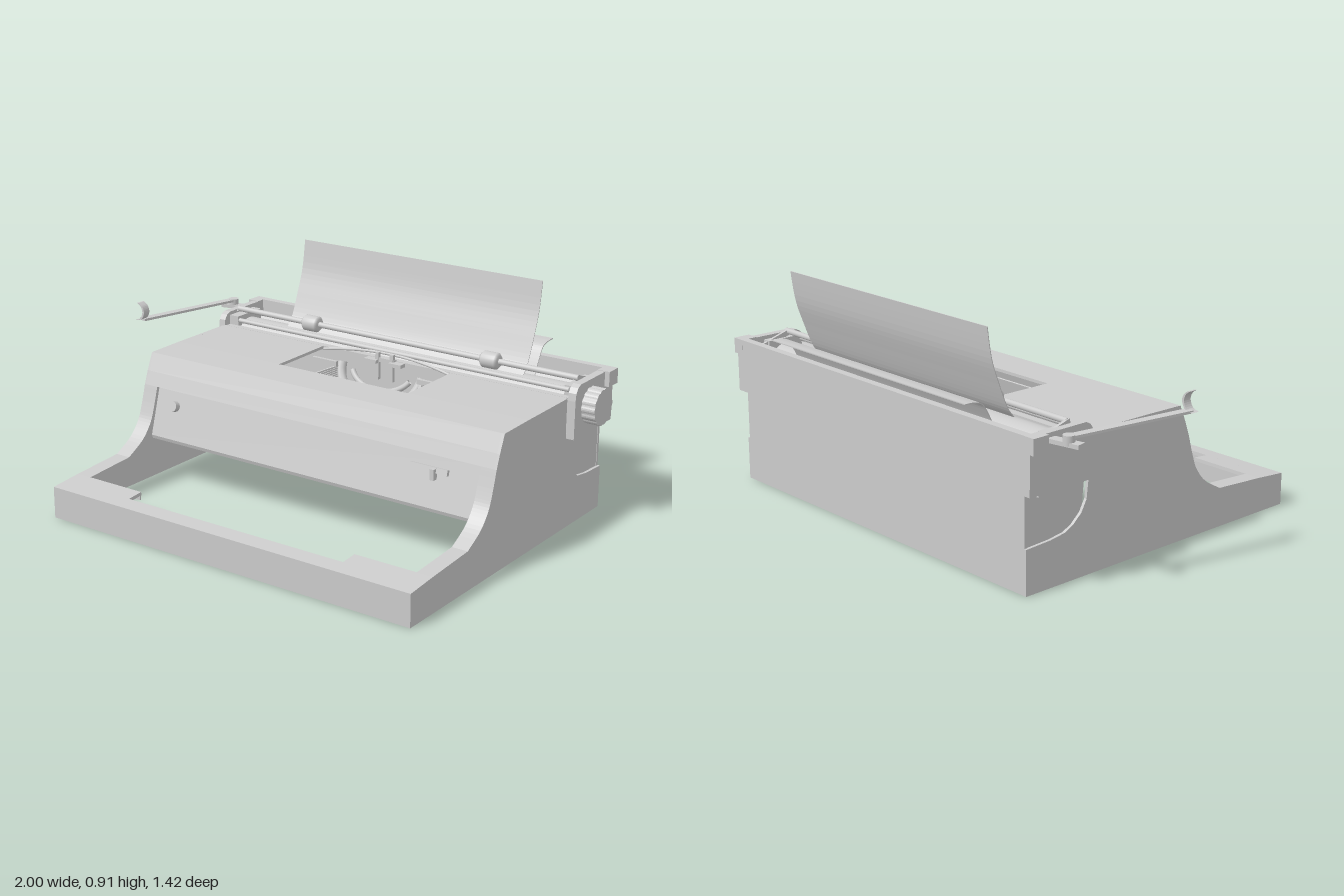
import * as THREE from 'three';

const mat = new THREE.MeshStandardMaterial({ color: 0xcccccc, side: THREE.DoubleSide });
const CX = 0.067; // centre line of the machine
const L = -0.775, R = 0.908; // outer faces of the casing

export function createModel() {
  const root = new THREE.Group();
  const add = (name, geo, parent = root) => {
    const m = new THREE.Mesh(geo, mat);
    m.name = name;
    parent.add(m);
    return m;
  };
  const group = (name) => {
    const g = new THREE.Group();
    g.name = name;
    root.add(g);
    return g;
  };
  // box given by its limits
  const box = (name, x0, x1, y0, y1, z0, z1, parent) =>
    add(name, new THREE.BoxGeometry(x1 - x0, y1 - y0, z1 - z0)
      .translate((x0 + x1) / 2, (y0 + y1) / 2, (z0 + z1) / 2), parent);
  // closed [z, y] outline extruded along x
  const slab = (name, pts, x0, x1, parent) => {
    const s = new THREE.Shape(pts.map(([z, y]) => new THREE.Vector2(-z, y)));
    const g = new THREE.ExtrudeGeometry(s, { depth: x1 - x0, bevelEnabled: false });
    return add(name, g.rotateY(Math.PI / 2).translate(x0, 0, 0), parent);
  };
  // thin sheet following an open [z, y] line, thickened to one side
  const skin = (name, pts, x0, x1, t, parent) => {
    const inner = pts.map((p, i) => {
      const a = pts[Math.max(i - 1, 0)], b = pts[Math.min(i + 1, pts.length - 1)];
      const dz = b[0] - a[0], dy = b[1] - a[1], l = Math.hypot(dz, dy);
      return [p[0] - (dy / l) * t, p[1] + (dz / l) * t];
    });
    return slab(name, [...pts, ...inner.reverse()], x0, x1, parent);
  };
  // smooth [z, y] line through a few points
  const smooth = (pts, n) => new THREE.SplineCurve(pts.map((p) => new THREE.Vector2(...p)))
    .getPoints(n).map((p) => [p.x, p.y]);
  const rodX = (name, r, x0, x1, y, z, parent, seg = 24) =>
    add(name, new THREE.CylinderGeometry(r, r, x1 - x0, seg)
      .rotateZ(Math.PI / 2).translate((x0 + x1) / 2, y, z), parent);
  // straight bar between two points
  const bar = (a, b, w, h) => {
    const d = b.clone().sub(a);
    const g = new THREE.BoxGeometry(w, h, d.length());
    const q = new THREE.Quaternion().setFromUnitVectors(new THREE.Vector3(0, 0, 1), d.normalize());
    return g.applyQuaternion(q).translate((a.x + b.x) / 2, (a.y + b.y) / 2, (a.z + b.z) / 2);
  };
  const V = (x, y, z) => new THREE.Vector3(x, y, z);

  // ---- casing ----
  const casing = group('casing');
  const sweep = smooth([[0.34, 0.157], [0.255, 0.207], [0.205, 0.265], [0.18, 0.325], [0.155, 0.41]], 20);
  const arm = [[0.71, 0.13], [0.57, 0.142], ...sweep];
  const brow = [[0.155, 0.41], [0.135, 0.465], [0.105, 0.535], [-0.065, 0.538]];
  const notch = [[-0.362, 0.53], [-0.362, 0.4], [-0.375, 0.29], [-0.4, 0.245], [-0.44, 0.21], [-0.48, 0.19], [-0.55, 0.18], [-0.665, 0.175]];
  const side = [[0.71, 0], ...arm, ...brow.slice(1), [-0.36, 0.54], ...notch, [-0.665, 0]];
  const inset = [[-0.373, 0.4], [-0.66, 0.4], [-0.66, 0.16], [-0.44, 0.16], [-0.39, 0.24]];
  for (const [x, s] of [[L, 1], [R, -1]]) {
    const span = (a, b) => [x + s * a, x + s * b].sort((p, q) => p - q);
    slab('sideWall', side, ...span(0, 0.012), casing);
    slab('sideInset', inset, ...span(0.012, 0.02), casing);
    skin('armTop', arm, ...span(0.01, 0.067), 0.014, casing);
    skin('armLip', arm.slice(1), ...span(0.06, 0.067), 0.03, casing);
  }
  box('frontWall', L, R, 0, 0.13, 0.698, 0.71, casing);
  skin('frontRim', [[0.71, 0.13], [0.64, 0.136]], L + 0.01, R - 0.01, 0.014, casing);
  box('frontRimLip', -0.44, 0.575, 0.105, 0.13, 0.641, 0.648, casing);
  for (const [a, b] of [[-0.71, -0.44], [0.575, 0.843]]) {
    skin('cornerTab', [[0.645, 0.1355], [0.57, 0.142]], a, b, 0.014, casing);
    box('cornerTabLip', a, b, 0.11, 0.135, 0.571, 0.578, casing);
  }
  skin('brow', brow, L + 0.005, R - 0.005, 0.012, casing);
  for (const [a, b] of [[L + 0.005, -0.245], [0.38, R - 0.005]])
    skin('deck', [[-0.065, 0.538], [-0.37, 0.54]], a, b, 0.012, casing);
  box('backWall', L + 0.01, R - 0.01, 0, 0.4, -0.665, -0.652, casing);

  // ---- sloping panel behind the keyboard opening ----
  const panel = group('frontPanel');
  skin('panelSheet', [[0.18, 0.193], [0.195, 0.2], [0.2, 0.215], [0.143, 0.412]], -0.705, 0.842, 0.008, panel);
  add('panelKnob', new THREE.CylinderGeometry(0.022, 0.022, 0.03, 20)
    .rotateX(Math.PI / 2 - 0.28).translate(-0.605, 0.35, 0.17), panel);
  add('sliderPlate', new THREE.BoxGeometry(0.165, 0.022, 0.015)
    .rotateX(-0.28).translate(0.628, 0.356, 0.166), panel);
  box('sliderTab', 0.645, 0.662, 0.322, 0.365, 0.165, 0.19, panel);

  // ---- typebar basket ----
  const basket = group('typeBasket');
  const rim = (t, rx, y, ry, z, rz) =>
    V(CX + rx * Math.cos(t), y - ry * Math.sin(t), z + rz * Math.sin(t));
  const count = 60;
  for (let i = 0; i < count; i++) {
    const t = Math.PI * (0.02 + 0.96 * i / (count - 1));
    const a = rim(t, 0.2, 0.49, 0.15, -0.33, 0.06);
    const b = rim(t, 0.38, 0.42, 0.2, -0.05, 0.1);
    add('typebar', bar(a, b, 0.007, 0.02), basket);
  }
  const arc = (f, trim) => new THREE.CatmullRomCurve3(Array.from({ length: 15 },
    (_, i) => f(Math.PI * (trim + (1 - 2 * trim) * i / 14))));
  add('segmentRing', new THREE.TubeGeometry(arc((t) => rim(t, 0.195, 0.5, 0.14, -0.345, 0.065), 0), 40, 0.02, 8), basket);
  add('typeRest', new THREE.TubeGeometry(arc((t) => rim(t, 0.15, 0.51, 0.09, -0.355, 0.045), 0.12), 32, 0.012, 8), basket);
  for (const [a, b] of [[-0.25, -0.13], [0.265, 0.385]])
    box('basketBracket', a, b, 0.49, 0.51, -0.315, -0.3, basket);

  // ---- type guide and ribbon holder ----
  const guide = group('typeGuide');
  for (const s of [-1, 1]) {
    box('guidePost', CX + s * 0.035 - 0.008, CX + s * 0.035 + 0.008, 0.45, 0.565, -0.375, -0.36, guide);
    box('guideFoot', CX + s * 0.06 - 0.03, CX + s * 0.06 + 0.03, 0.52, 0.535, -0.38, -0.345, guide);
  }
  box('guideBridge', CX - 0.045, CX + 0.045, 0.525, 0.542, -0.385, -0.365, guide);
  add('lineScale', new THREE.TubeGeometry(new THREE.QuadraticBezierCurve3(
    V(-0.25, 0.525, -0.375), V(CX, 0.58, -0.43), V(0.385, 0.525, -0.375)), 24, 0.006, 8), guide);

  // ---- carriage ----
  const carriage = group('carriage');
  const endPlate = [[-0.372, 0.375], [-0.372, 0.53], [-0.376, 0.56], [-0.39, 0.58], [-0.41, 0.59], [-0.675, 0.59], [-0.675, 0.375]];
  slab('endPlate', endPlate, -0.805, -0.775, carriage);
  slab('endPlate', endPlate, 0.905, 0.938, carriage);
  for (const [a, b] of [[-0.825, -0.775], [0.905, 0.958]])
    box('endEar', a, b, 0.53, 0.592, -0.678, -0.607, carriage);
  box('carriageBack', -0.805, 0.938, 0.375, 0.592, -0.677, -0.645, carriage);
  box('carriageFloor', -0.8, 0.93, 0.375, 0.39, -0.67, -0.38, carriage);
  box('frontRail', -0.8, 0.93, 0.38, 0.535, -0.415, -0.385, carriage);
  rodX('frontRod', 0.01, -0.72, 0.89, 0.56, -0.41, carriage, 12);
  skin('paperTrough', [[-0.645, 0.53], [-0.61, 0.47], [-0.57, 0.42]], -0.775, 0.905, 0.008, carriage);
  box('sideGuide', -0.775, -0.73, 0.52, 0.575, -0.57, -0.41, carriage);
  box('sideGuide', 0.868, 0.905, 0.52, 0.575, -0.57, -0.41, carriage);
  for (const x of [-0.773, 0.896])
    box('runnerFoot', x, x + 0.01, 0.35, 0.38, -0.605, -0.54, carriage);
  rodX('platen', 0.08, -0.73, 0.87, 0.475, -0.49, carriage, 40);
  rodX('platenAxle', 0.025, -0.8, 0.95, 0.485, -0.485, carriage, 16);

  // scalloped platen knob
  const knobPts = Array.from({ length: 72 }, (_, i) => {
    const a = (i / 72) * Math.PI * 2, r = 0.069 + 0.005 * Math.abs(Math.cos(a * 7));
    return [-0.485 + r * Math.cos(a), 0.49 + r * Math.sin(a)];
  });
  slab('platenKnob', knobPts, 0.942, 1.0, carriage);

  // ---- paper bail ----
  const bail = group('paperBail');
  rodX('bailRod', 0.012, -0.765, 0.9, 0.595, -0.462, bail, 16);
  for (const x of [-0.37, 0.508]) {
    const roller = [[0, -0.04], [0.024, -0.04], [0.034, -0.03], [0.034, 0.03], [0.024, 0.04], [0, 0.04]];
    add('bailRoller', new THREE.LatheGeometry(roller.map((p) => new THREE.Vector2(...p)), 24)
      .rotateZ(Math.PI / 2).translate(x, 0.595, -0.462), bail);
  }
  for (const x of [-0.765, 0.885])
    add('bailArm', bar(V(x, 0.595, -0.455), V(x, 0.55, -0.6), 0.012, 0.022), bail);

  // ---- paper and its rest ----
  skin('paper', smooth([[-0.474, 0.55], [-0.51, 0.595], [-0.55, 0.69], [-0.585, 0.79], [-0.605, 0.91]], 20), -0.512, 0.648, 0.003);
  skin('paperRest', smooth([[-0.57, 0.53], [-0.6, 0.59], [-0.63, 0.635], [-0.67, 0.648], [-0.71, 0.65]], 20), -0.512, 0.648, 0.004);

  // ---- carriage return lever ----
  const lever = group('returnLever');
  add('leverBracket', bar(V(-0.93, 0.565, -0.555), V(-0.8, 0.565, -0.58), 0.04, 0.016), lever);
  add('leverPivot', new THREE.CylinderGeometry(0.022, 0.022, 0.035, 20).translate(-0.88, 0.58, -0.567), lever);
  add('leverArm', bar(V(-0.88, 0.59, -0.575), V(-0.98, 0.6, -0.07), 0.035, 0.01), lever);
  const hook = new THREE.SplineCurve([[-0.995, 0.598], [-0.968, 0.607], [-0.955, 0.635], [-0.963, 0.66], [-0.982, 0.675]]
    .map((p) => new THREE.Vector2(...p))).getPoints(16);
  const hookShape = new THREE.Shape([...hook, ...hook.map((p) => new THREE.Vector2(p.x - 0.009, p.y)).reverse()]);
  add('leverGrip', new THREE.ExtrudeGeometry(hookShape, { depth: 0.035, bevelEnabled: false })
    .translate(0, 0, -0.088), lever);

  return root;
}
